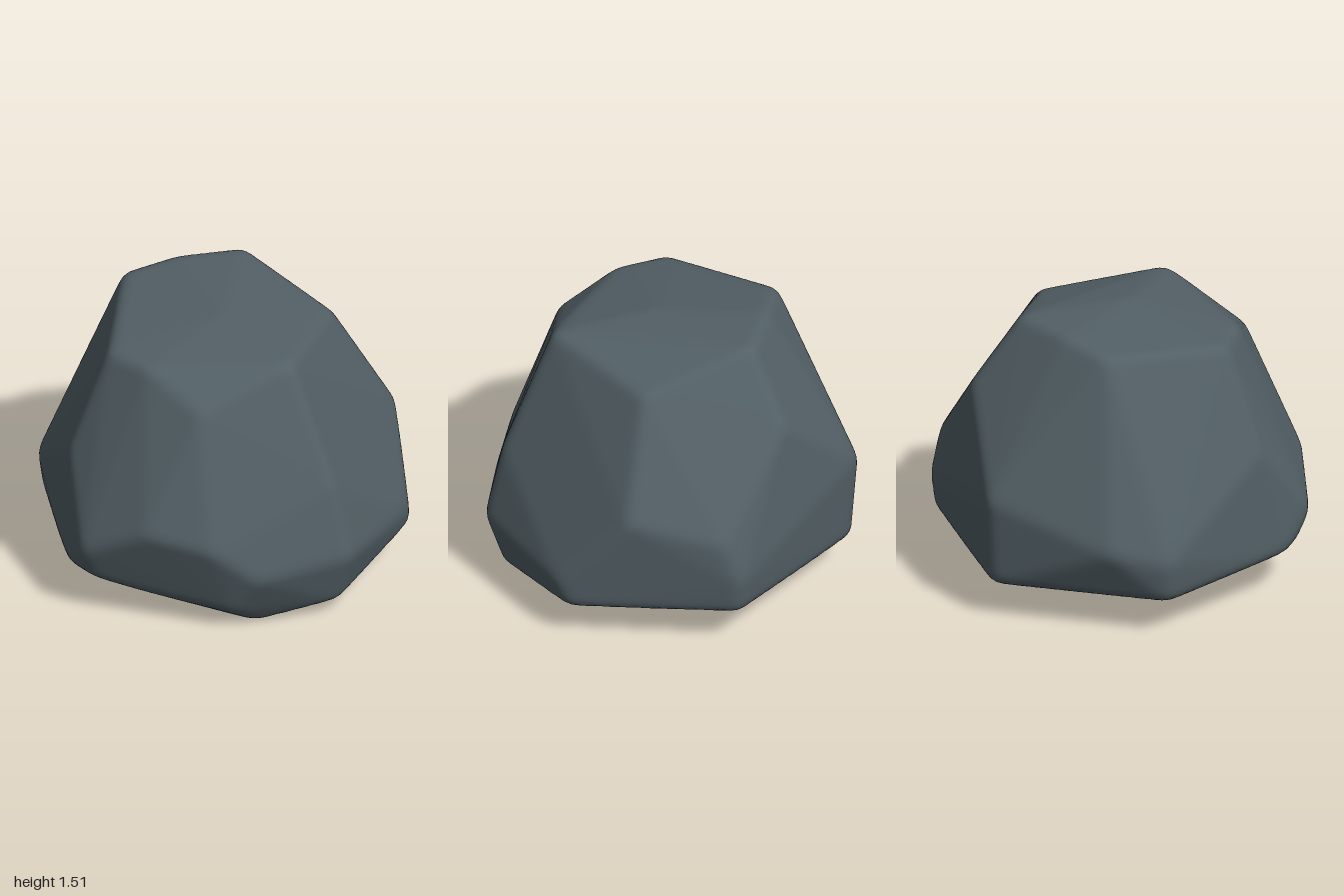
import * as THREE from 'three';
import { mergeVertices } from 'three/addons/utils/BufferGeometryUtils.js';
import { ConvexGeometry } from 'three/addons/geometries/ConvexGeometry.js';

const CENTRE = new THREE.Vector3(0, 0.7, 0);

// Facet corners of the boulder, from the crown down to the underside
const CROWN = [
  [-0.05, 1.497, 0.06], [0.48, 1.502, -0.28], [0.2, 1.502, -0.49], [-0.05, 1.46, -0.635],
  [0.49, 1.365, 0.335], [-0.13, 1.435, 0.59], [-0.59, 1.25, 0.365], [-0.615, 1.4, 0.02], [-0.61, 1.4, -0.25],
];
const SIDES = [
  [0.725, 1.14, -0.365], [0.76, 0.77, 0.535], [0.975, 0.64, 0.07], [1.015, 0.41, 0],
  [0.545, 0.69, -0.855], [-0.13, 0.49, -0.977], [-0.43, 0.42, -0.905], [-0.81, 0.85, -0.35],
  [-1.02, 0.42, -0.08], [-0.915, 0.61, 0.265], [-0.735, 0.54, 0.565], [-0.555, 0.35, 0.735],
  [-0.12, 0.8, 0.875], [-0.11, 0.39, 0.98], [0.53, 0.33, 0.83],
];
const UNDERSIDE = [
  [0.99, 0.22, 0], [0.58, 0.2, 0.79], [-0.09, 0.08, 0.88], [-0.4, -0.015, 0.6], [-0.58, 0.12, 0.585],
  [0, 0.01, -0.14], [-0.25, -0.005, 0.15], [-0.94, 0.23, -0.06], [-0.92, 0.24, -0.27],
  [-0.42, 0.2, -0.87], [0.535, 0.2, -0.82],
];

// Planes of the faceted hull, relative to its centre
function facetPlanes() {
  const points = [...CROWN, ...SIDES, ...UNDERSIDE].map((p) => new THREE.Vector3(...p).sub(CENTRE));
  const pos = new ConvexGeometry(points).attributes.position;
  const planes = [];
  for (let i = 0; i < pos.count; i += 3) {
    const [a, b, c] = [0, 1, 2].map((k) => new THREE.Vector3().fromBufferAttribute(pos, i + k));
    const plane = new THREE.Plane().setFromCoplanarPoints(a, b, c);
    if (plane.constant > 0) plane.negate();
    planes.push(plane);
  }
  return planes;
}

// Distance from the centre to the hull in one direction
function reach(planes, dir) {
  let r = 3;
  for (const p of planes) {
    const facing = p.normal.dot(dir);
    if (facing > 1e-4) r = Math.min(r, -p.constant / facing);
  }
  return r;
}

// Dense sphere pulled onto the hull; averaging nearby directions wears the edges round
function boulderGeometry() {
  const planes = facetPlanes();
  let geo = new THREE.IcosahedronGeometry(1, 40);
  geo.deleteAttribute('normal');
  geo.deleteAttribute('uv');
  geo = mergeVertices(geo, 1e-5);
  const pos = geo.attributes.position;
  const dir = new THREE.Vector3(), u = new THREE.Vector3(), v = new THREE.Vector3(), d = new THREE.Vector3();
  const WEAR = 0.05, RING = 8;
  for (let i = 0; i < pos.count; i++) {
    dir.fromBufferAttribute(pos, i).normalize();
    u.set(0, 1, 0);
    if (Math.abs(dir.y) > 0.9) u.set(1, 0, 0);
    u.cross(dir).normalize();
    v.crossVectors(dir, u);
    let sum = reach(planes, dir), n = 1;
    for (const wear of [WEAR / 2, WEAR]) {
      for (let k = 0; k < RING; k++) {
        const a = (k / RING) * Math.PI * 2;
        d.copy(dir).addScaledVector(u, Math.cos(a) * wear).addScaledVector(v, Math.sin(a) * wear).normalize();
        sum += reach(planes, d);
        n++;
      }
    }
    dir.multiplyScalar(sum / n).add(CENTRE);
    pos.setXYZ(i, dir.x, dir.y, dir.z);
  }
  // Rest the boulder on the ground
  geo.computeBoundingBox();
  geo.translate(0, -geo.boundingBox.min.y, 0);
  geo.computeVertexNormals();
  return geo;
}

export function createModel() {
  const slate = new THREE.MeshStandardMaterial({ color: 0x525f65 });
  slate.name = 'slate grey';
  const boulder = new THREE.Mesh(boulderGeometry(), slate);
  boulder.name = 'boulder';
  const group = new THREE.Group();
  group.name = 'rock';
  group.add(boulder);
  return group;
}
